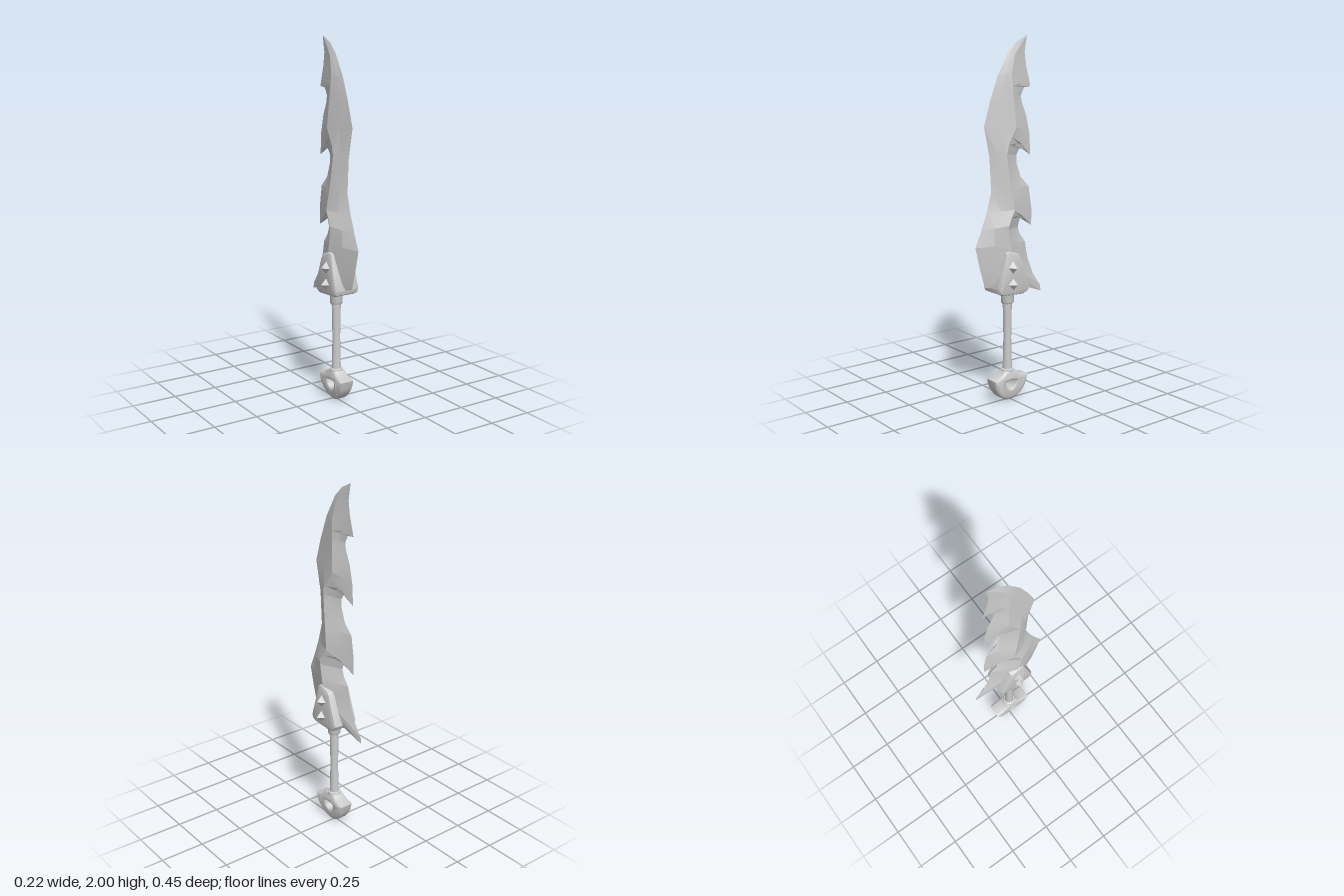
import * as THREE from 'three';
import { toCreasedNormals } from 'three/addons/utils/BufferGeometryUtils.js';

const material = new THREE.MeshStandardMaterial({ color: 0xcccccc, side: THREE.DoubleSide });
const AXIS_Z = 0.012; // centre line of the handle

// Blade ridge: [y, z, half thickness], top to bottom
const RIDGE = [
  [2.0, -0.12, 0], [1.9, -0.03, 0.014], [1.8, 0, 0.024], [1.52, -0.02, 0.039], [1.4, 0.05, 0.043],
  [1.23, 0.03, 0.05], [1.08, 0.005, 0.06], [1.0, 0.055, 0.066], [0.85, 0.03, 0.064], [0.64, 0.04, 0.045],
];

// Cutting edge: [z, y, y of the ridge point it joins]
const FRONT_EDGE = [
  [-0.12, 2.0, 2.0], [-0.05, 1.965, 1.95], [0.005, 1.91, 1.9], [0.075, 1.79, 1.8], [0.125, 1.66, 1.66],
  [0.165, 1.53, 1.52], [0.13, 1.365, 1.4], [0.12, 1.18, 1.23], [0.15, 1.075, 1.08], [0.185, 0.98, 1.0],
  [0.225, 0.89, 0.9], [0.2, 0.785, 0.8], [0.165, 0.665, 0.7], [0.12, 0.655, 0.64],
];

// Back edge with its hooked teeth, same layout
const BACK_EDGE = [
  [-0.12, 2.0, 2.0], [-0.105, 1.91, 1.9], [-0.115, 1.84, 1.83], [-0.145, 1.73, 1.77], [-0.1, 1.725, 1.735],
  [-0.08, 1.685, 1.7], [-0.085, 1.65, 1.65], [-0.115, 1.58, 1.59], [-0.14, 1.475, 1.52], [-0.145, 1.36, 1.49],
  [-0.105, 1.395, 1.47], [-0.07, 1.4, 1.43], [-0.05, 1.37, 1.38], [-0.05, 1.325, 1.32], [-0.08, 1.245, 1.25],
  [-0.135, 1.19, 1.2], [-0.155, 1.065, 1.13], [-0.155, 0.97, 1.1], [-0.105, 1.01, 1.075], [-0.075, 1.02, 1.04],
  [-0.06, 0.97, 0.98], [-0.075, 0.93, 0.935], [-0.11, 0.885, 0.9], [-0.13, 0.785, 0.85], [-0.17, 0.69, 0.82],
  [-0.22, 0.62, 0.79], [-0.225, 0.585, 0.76], [-0.155, 0.62, 0.68], [-0.07, 0.635, 0.64],
];

function ridgeAt(y) {
  let i = 0;
  while (i < RIDGE.length - 2 && RIDGE[i + 1][0] > y) i++;
  const [a, b] = [RIDGE[i], RIDGE[i + 1]];
  const t = (a[0] - y) / (a[0] - b[0]);
  return { y, z: a[1] + (b[1] - a[1]) * t, x: a[2] + (b[2] - a[2]) * t };
}

// One bevel: ridge, a point halfway, then the sharp edge
function addBevel(out, edge, side, facing, midThickness) {
  const rows = edge.map(([z, y, ry]) => {
    const r = ridgeAt(ry);
    return [
      [side * r.x, r.y, r.z],
      [side * r.x * midThickness, (r.y + y) / 2, (r.z + z) / 2],
      [0, y, z],
    ];
  });
  for (let i = 0; i < rows.length - 1; i++) {
    for (let j = 0; j < 2; j++) {
      const a = rows[i][j], b = rows[i][j + 1], c = rows[i + 1][j], d = rows[i + 1][j + 1];
      const tris = side * facing > 0 ? [a, b, c, b, d, c] : [a, c, b, b, c, d];
      tris.forEach((p) => out.push(...p));
    }
  }
}

function bladeGeometry() {
  const positions = [];
  for (const side of [1, -1]) {
    addBevel(positions, FRONT_EDGE, side, 1, 0.58);
    addBevel(positions, BACK_EDGE, side, -1, 0.45);
  }
  const g = new THREE.BufferGeometry();
  g.setAttribute('position', new THREE.Float32BufferAttribute(positions, 3));
  return toCreasedNormals(g, 0.2);
}

// Extrudes a side profile drawn in (z, y) symmetrically across x
function sideExtrude(shape, width, bevel, segments) {
  const g = new THREE.ExtrudeGeometry(shape, {
    depth: width - 2 * bevel, bevelThickness: bevel, bevelSize: bevel, bevelOffset: -bevel,
    bevelSegments: segments, curveSegments: 10,
  });
  g.translate(0, 0, bevel - width / 2);
  return g.rotateY(-Math.PI / 2);
}

// Narrows or widens a geometry across x by a rule of height
function scaleXByHeight(g, rule) {
  const p = g.attributes.position;
  for (let i = 0; i < p.count; i++) p.setX(i, p.getX(i) * rule(p.getY(i)));
  return g;
}

function guardGeometry() {
  const outline = [
    [0.122, 0.655], [0.115, 0.63], [0.09, 0.618], [-0.045, 0.61], [-0.078, 0.625],
    [-0.092, 0.65], [-0.035, 0.815], [-0.022, 0.838], [0.045, 0.862], [0.068, 0.85], [0.095, 0.745],
  ];
  const shape = new THREE.Shape(outline.map(([z, y]) => new THREE.Vector2(z, y)));
  const g = sideExtrude(shape, 0.156, 0.018, 2);
  scaleXByHeight(g, (y) => (y > 0.72 ? 1 - (y - 0.72) * 0.6 : 1));
  return toCreasedNormals(g, 0.6);
}

function pommelGeometry() {
  // Stirrup outline around its own centre line
  const shape = new THREE.Shape();
  shape.moveTo(-0.035, 0.172);
  shape.quadraticCurveTo(-0.05, 0.148, -0.116, 0.132);
  shape.lineTo(-0.106, 0.09);
  shape.bezierCurveTo(-0.085, 0.03, -0.04, 0.004, 0, 0);
  shape.bezierCurveTo(0.04, 0.004, 0.085, 0.03, 0.106, 0.09);
  shape.lineTo(0.116, 0.132);
  shape.quadraticCurveTo(0.05, 0.148, 0.035, 0.172);
  const hole = new THREE.Path();
  hole.moveTo(-0.036, 0.11);
  hole.quadraticCurveTo(0, 0.122, 0.036, 0.11);
  hole.bezierCurveTo(0.036, 0.053, -0.036, 0.053, -0.036, 0.11);
  shape.holes.push(hole);
  const g = sideExtrude(shape, 0.09, 0.014, 3);
  scaleXByHeight(g, (y) => (y < 0.12 ? 0.42 + 0.58 * Math.sqrt(y > 0 ? y / 0.12 : 0) : 1 - (y - 0.12) * 4));
  g.translate(0, 0, AXIS_Z);
  return toCreasedNormals(g, 0.7);
}

// Turned part from [radius, y] pairs
function turned(points) {
  const g = new THREE.LatheGeometry(points.map(([r, y]) => new THREE.Vector2(r, y)), 16);
  g.translate(0, 0, AXIS_Z);
  return toCreasedNormals(g, 0.6);
}

export function createModel() {
  const model = new THREE.Group();
  model.name = 'serratedSword';
  const add = (name, geometry) => {
    const mesh = new THREE.Mesh(geometry, material);
    mesh.name = name;
    model.add(mesh);
    return mesh;
  };

  add('blade', bladeGeometry());
  add('guard', guardGeometry());

  // Pointed studs, two on each side of the guard
  for (const side of [1, -1]) {
    for (const y of [0.77, 0.677]) {
      const stud = add('guardStud', new THREE.OctahedronGeometry(0.035));
      stud.position.set(side * 0.074, y, 0.028);
    }
  }

  // Grip with a collar at each end
  add('upperCollar', turned([[0, 0.555], [0.032, 0.555], [0.036, 0.562], [0.036, 0.605], [0.042, 0.625], [0, 0.625]]));
  add('grip', turned([[0.027, 0.16], [0.024, 0.25], [0.022, 0.36], [0.024, 0.48], [0.026, 0.57]]));
  add('lowerCollar', turned([[0, 0.145], [0.036, 0.145], [0.038, 0.165], [0.036, 0.178], [0.03, 0.182], [0, 0.182]]));
  add('pommel', pommelGeometry());
  return model;
}
